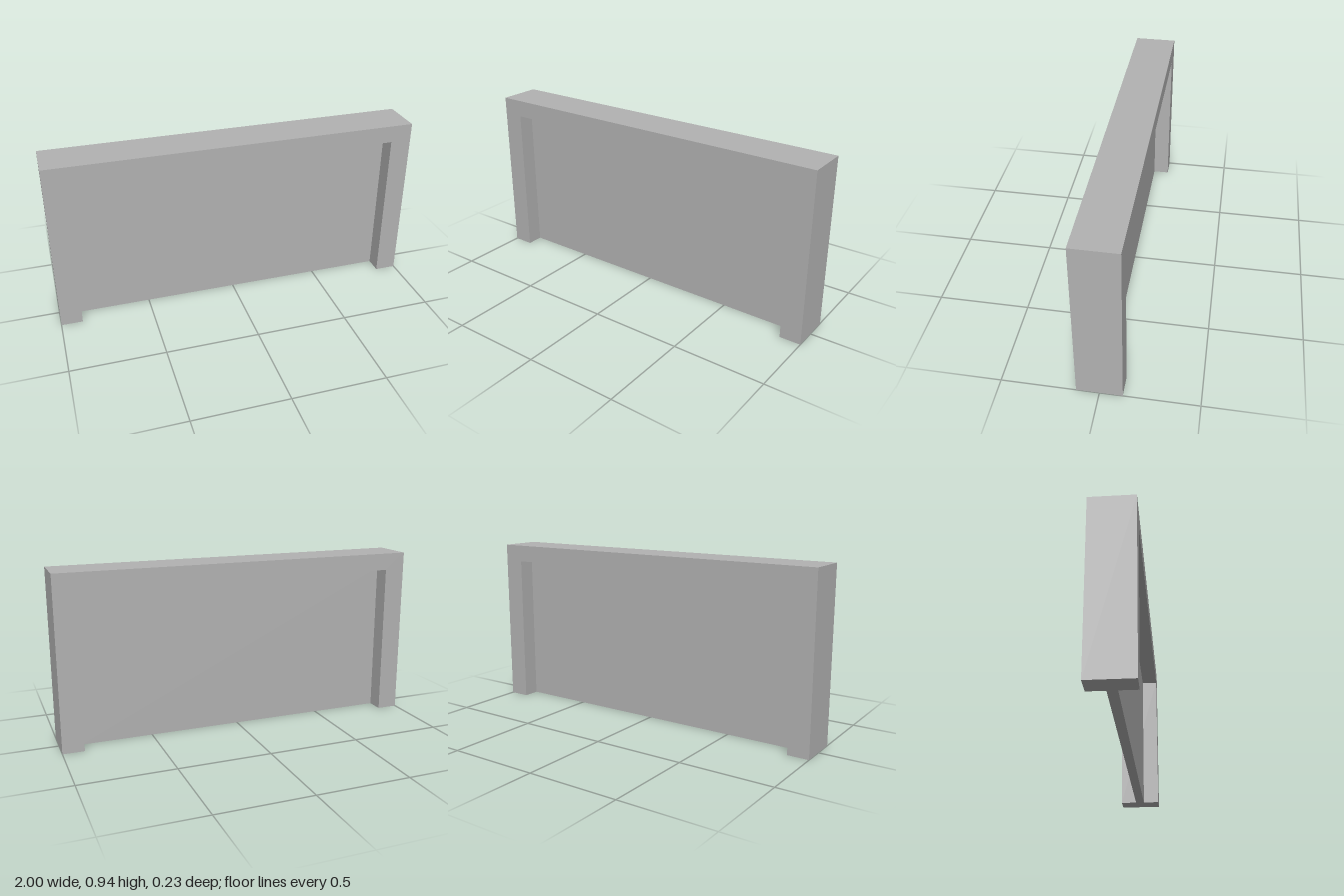
import * as THREE from 'three';

const WIDTH = 2, HEIGHT = 0.936, DEPTH = 0.234;
const INNER_HALF = 0.885, INNER_TOP = 0.842, PANEL_DEPTH = 0.05;

export function createModel() {
  const model = new THREE.Group();
  model.name = 'framedPanel';

  const grey = new THREE.MeshStandardMaterial({ color: 0xb2b2b2 });
  grey.name = 'grey';

  // Portal frame: two posts and a lintel in one piece, open at the bottom
  const h = WIDTH / 2;
  const outline = new THREE.Shape([
    [-h, 0], [-INNER_HALF, 0], [-INNER_HALF, INNER_TOP], [INNER_HALF, INNER_TOP],
    [INNER_HALF, 0], [h, 0], [h, HEIGHT], [-h, HEIGHT],
  ].map(([x, y]) => new THREE.Vector2(x, y)));
  const frameGeometry = new THREE.ExtrudeGeometry(outline, { depth: DEPTH, bevelEnabled: false });
  frameGeometry.translate(0, 0, -DEPTH / 2);
  const frame = new THREE.Mesh(frameGeometry, grey);
  frame.name = 'frame';

  // Thin panel filling the opening, recessed equally on both sides
  const panel = new THREE.Mesh(
    new THREE.BoxGeometry(INNER_HALF * 2, INNER_TOP, PANEL_DEPTH), grey);
  panel.name = 'panel';
  panel.position.y = INNER_TOP / 2;

  model.add(frame, panel);
  return model;
}
